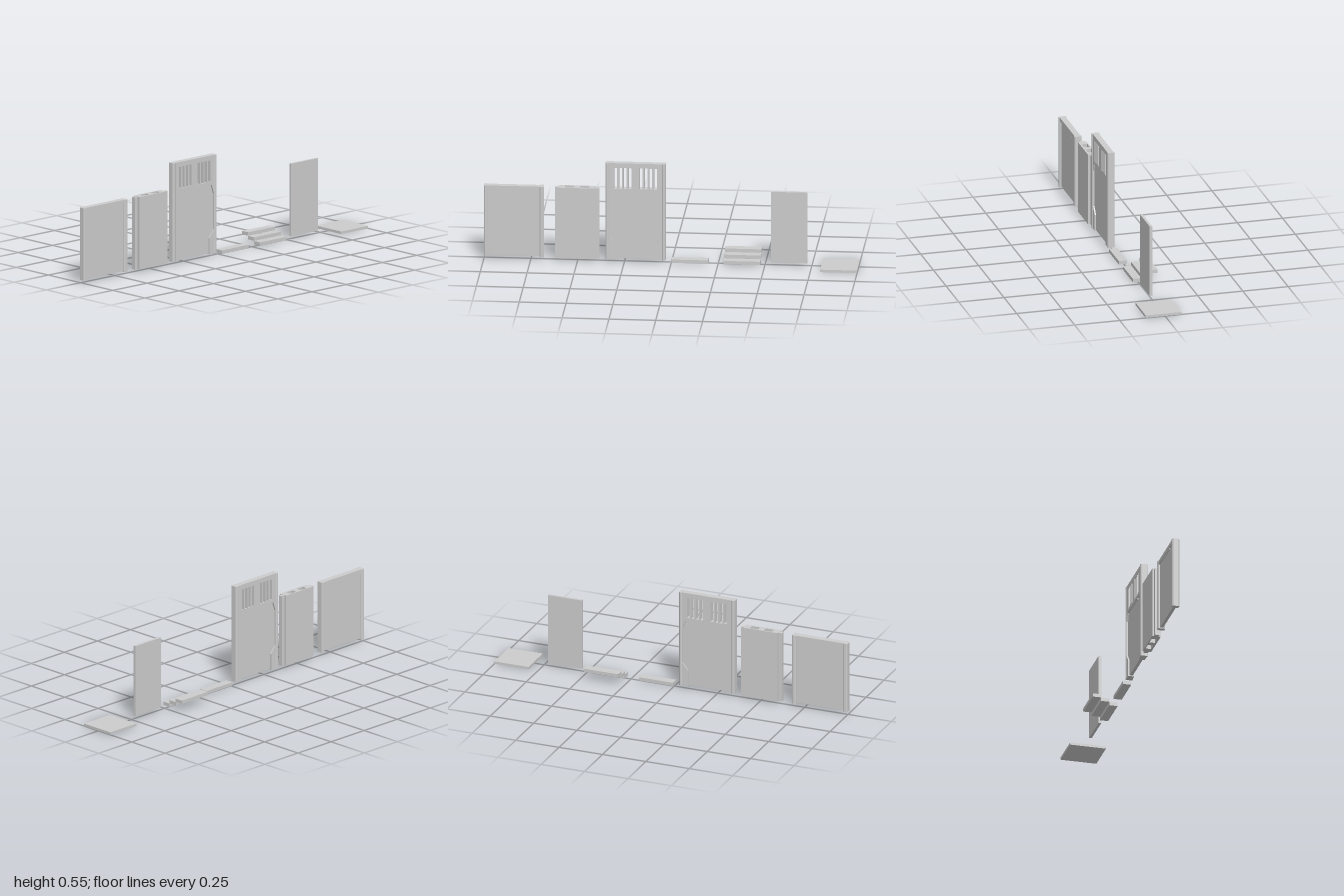
import * as THREE from 'three';

const material = new THREE.MeshStandardMaterial({ color: 0xcccccc, flatShading: true });

function add(parent, name, geometry) {
  const mesh = new THREE.Mesh(geometry, material);
  mesh.name = name;
  parent.add(mesh);
  return mesh;
}

// Box given by its minimum and maximum on each axis
function box(parent, name, [x0, x1], [y0, y1], [z0, z1]) {
  const mesh = add(parent, name, new THREE.BoxGeometry(x1 - x0, y1 - y0, z1 - z0));
  mesh.position.set((x0 + x1) / 2, (y0 + y1) / 2, (z0 + z1) / 2);
  return mesh;
}

const toShape = (pts) => new THREE.Shape(pts.map(([x, y]) => new THREE.Vector2(x, y)));
const rect = (x0, x1, y0, y1) => [[x0, y0], [x1, y0], [x1, y1], [x0, y1]];

// Outline in x/y, extruded between two z values
function plate(parent, name, shape, z0, z1) {
  const mesh = add(parent, name, new THREE.ExtrudeGeometry(shape, { depth: z1 - z0, bevelEnabled: false }));
  mesh.position.z = z0;
  return mesh;
}

// Plan outline in x/z, extruded between two heights
function column(parent, name, shape, y0, y1) {
  const geometry = new THREE.ExtrudeGeometry(shape, { depth: y1 - y0, bevelEnabled: false });
  geometry.rotateX(-Math.PI / 2);
  const mesh = add(parent, name, geometry);
  mesh.position.y = y0;
  return mesh;
}

// Mirrored pair of chamfered end posts
function endPosts(parent, outer, width, y0, y1) {
  const c = 0.006, zBack = -0.012, zFront = 0.029;
  for (const side of [-1, 1]) {
    const pts = [
      [outer - width, -zFront + c], [outer - width + c, -zFront], [outer - c, -zFront], [outer, -zFront + c],
      [outer, -zBack - c], [outer - c, -zBack], [outer - width + c, -zBack], [outer - width, -zBack - c],
    ].map(([x, y]) => [side * x, y]);
    column(parent, 'endPost', toShape(pts), y0, y1);
  }
}

export function createModel() {
  const model = new THREE.Group();
  const section = (name, x) => {
    const group = new THREE.Group();
    group.name = name;
    group.position.x = x;
    model.add(group);
    return group;
  };

  // Plain wall: posts, header and recessed panel
  const wall = section('framedWall', -0.84);
  endPosts(wall, 0.16, 0.024, 0.015, 0.41);
  box(wall, 'header', [-0.15, 0.15], [0.39, 0.41], [-0.008, 0.025]);
  box(wall, 'recessedPanel', [-0.145, 0.145], [0.02, 0.395], [0, 0.017]);
  box(wall, 'headerLip', [-0.075, 0.075], [0.383, 0.392], [-0.004, 0.021]);

  // Thick filler wall with two vertical shafts and side tongues
  const filler = section('hollowWall', -0.502);
  const core = toShape(rect(-0.099, 0.099, -0.032, 0.015));
  for (const side of [-1, 1]) {
    const hole = rect(side * 0.04 - 0.023, side * 0.04 + 0.023, -0.022, 0.008);
    core.holes.push(toShape(hole));
    const x = side * 0.108;
    box(filler, 'sideTongue', [x - 0.01, x + 0.01], [0.015, 0.408], [-0.004, 0.019]);
  }
  column(filler, 'core', core, 0.015, 0.41);

  // Tall wall with a slotted vent above a recessed panel
  const vent = section('ventedWall', -0.19);
  endPosts(vent, 0.16, 0.02, 0.015, 0.553);
  const half = [[0.108, 0.015], [0.108, 0.105], [0.14, 0.145], [0.14, 0.345], [0.123, 0.392]];
  const mirrored = half.map(([x, y]) => [-x, y]).reverse();
  const frame = toShape([
    [0.152, 0.015], [0.152, 0.553], [-0.152, 0.553], [-0.152, 0.015], ...mirrored.slice().reverse(), ...half.slice().reverse(),
  ]);
  for (const side of [-1, 1]) {
    for (let i = 0; i < 4; i++) {
      const x = side * (0.03 + i * 0.0255);
      frame.holes.push(toShape(rect(x - 0.008, x + 0.008, 0.41, 0.527)));
    }
  }
  plate(vent, 'slottedFrame', frame, -0.008, 0.025);
  box(vent, 'recessedPanel', [-0.143, 0.143], [0.02, 0.395], [0, 0.017]);
  box(vent, 'headerLip', [-0.07, 0.07], [0.385, 0.393], [-0.004, 0.021]);

  // Single step
  const step = section('singleStep', 0.1);
  box(step, 'tread', [-0.098, 0.098], [0.005, 0.024], [-0.014, 0.031]);

  // Three-step stair rising to the back
  const stair = section('stair', 0.378);
  for (let i = 0; i < 3; i++) {
    const y = 0.005 + i * 0.02, z = 0.031 - i * 0.0455;
    box(stair, 'tread', [-0.098, 0.098], [y, y + 0.019], [z - 0.046, z]);
  }

  // Thin upright panel
  box(model, 'thinPanel', [0.531, 0.726], [0.015, 0.41], [-0.006, 0.008]);

  // Square floor tile
  box(model, 'floorTile', [0.803, 1], [0, 0.014], [-0.09, 0.107]);

  return model;
}
